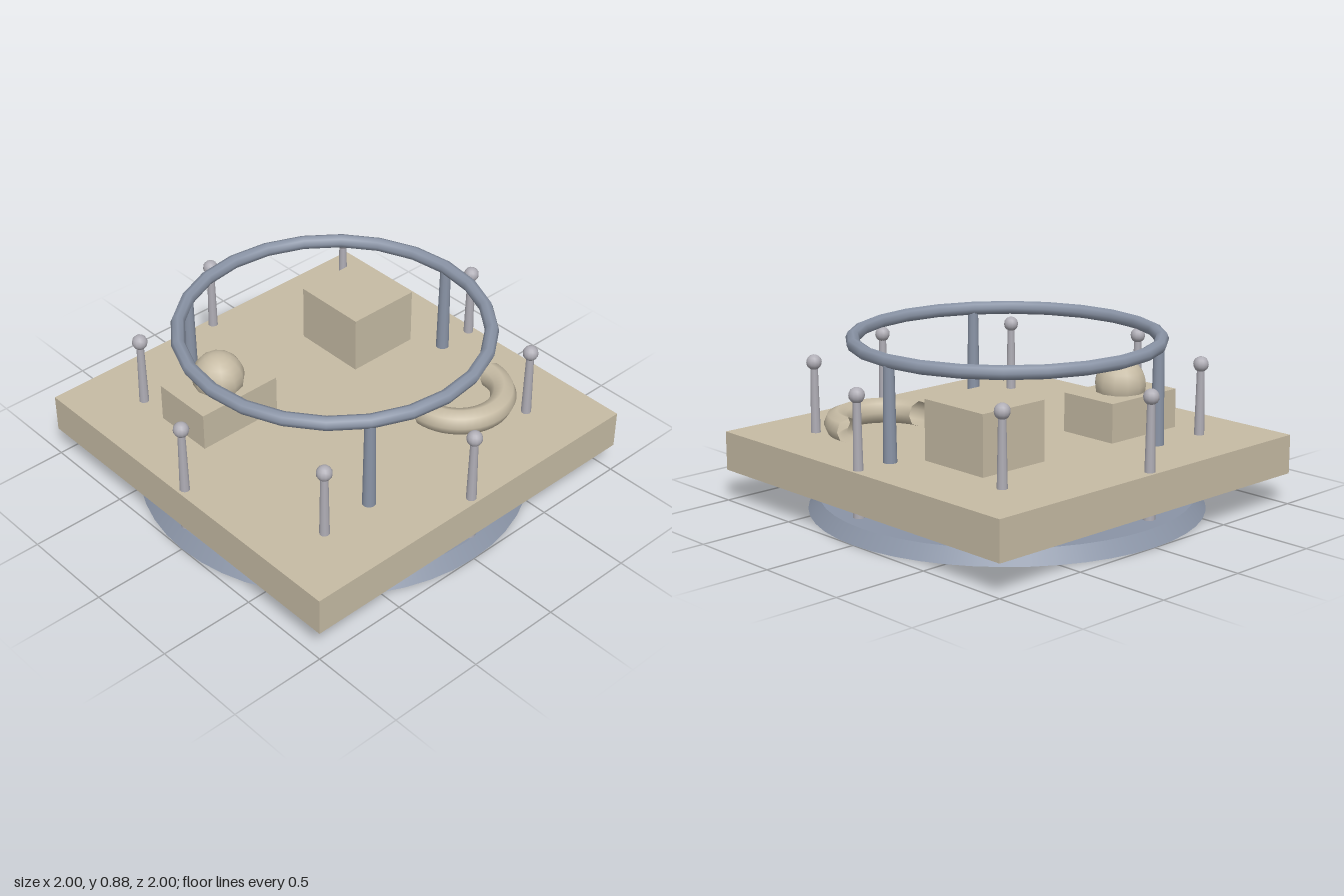
import * as THREE from 'three';

export function createModel() {
  const model = new THREE.Group();
  model.name = 'platformModel';

  const material = (name, color) => {
    const m = new THREE.MeshStandardMaterial({ color });
    m.name = name;
    return m;
  };
  const sand = material('sand', 0xc6bba4);
  sand.side = THREE.DoubleSide; // the half ring has open ends
  const steel = material('blueSteel', 0x8a94a6);
  const silver = material('silver', 0xb0aeb6);

  const add = (name, geometry, mat, x, y, z, parent = model) => {
    const mesh = new THREE.Mesh(geometry, mat);
    mesh.name = name;
    mesh.position.set(x, y, z);
    parent.add(mesh);
    return mesh;
  };

  // Round bevelled base and square deck
  add('base', new THREE.CylinderGeometry(0.945, 1, 0.07, 48), steel, 0, 0.035, 0);
  add('deck', new THREE.BoxGeometry(2, 0.2, 2), sand, 0, 0.26, 0);

  // Three tapered supports carrying the upper ring
  const ringRadius = 0.765;
  const supportGeometry = new THREE.CylinderGeometry(0.0275, 0.0385, 0.78, 12);
  for (let i = 0; i < 3; i++) {
    const a = (i / 3) * Math.PI * 2;
    add('support', supportGeometry, steel, ringRadius * Math.cos(a), 0.45, ringRadius * Math.sin(a));
  }
  const ringGeometry = new THREE.TorusGeometry(ringRadius, 0.035, 8, 24).rotateX(Math.PI / 2);
  add('upperRing', ringGeometry, steel, 0, 0.85, 0);

  // Eight ball-topped pins passing through the deck
  const rodGeometry = new THREE.CylinderGeometry(0.019, 0.03, 0.58, 10);
  const ballGeometry = new THREE.SphereGeometry(0.039, 12, 10);
  for (let i = 0; i < 8; i++) {
    const a = (i / 8) * Math.PI * 2;
    const pin = new THREE.Group();
    pin.name = 'pin';
    pin.position.set(0.96 * Math.cos(a), 0, 0.96 * Math.sin(a));
    add('pinRod', rodGeometry, silver, 0, 0.42, 0, pin);
    add('pinBall', ballGeometry, silver, 0, 0.72, 0, pin);
    model.add(pin);
  }

  // Block with a dome, raised block and open half ring on the deck
  add('domeBlock', new THREE.BoxGeometry(0.465, 0.2, 0.33), sand, -0.467, 0.46, -0.335);
  add('dome', new THREE.SphereGeometry(0.131, 12, 12), sand, -0.467, 0.595, -0.335);
  add('raisedBlock', new THREE.BoxGeometry(0.395, 0.3, 0.4), sand, 0.466, 0.526, -0.335);
  const halfRing = new THREE.TorusGeometry(0.232, 0.066, 8, 24, Math.PI).rotateX(Math.PI / 2);
  add('halfRing', halfRing, sand, 0.467, 0.428, 0.4);

  return model;
}
